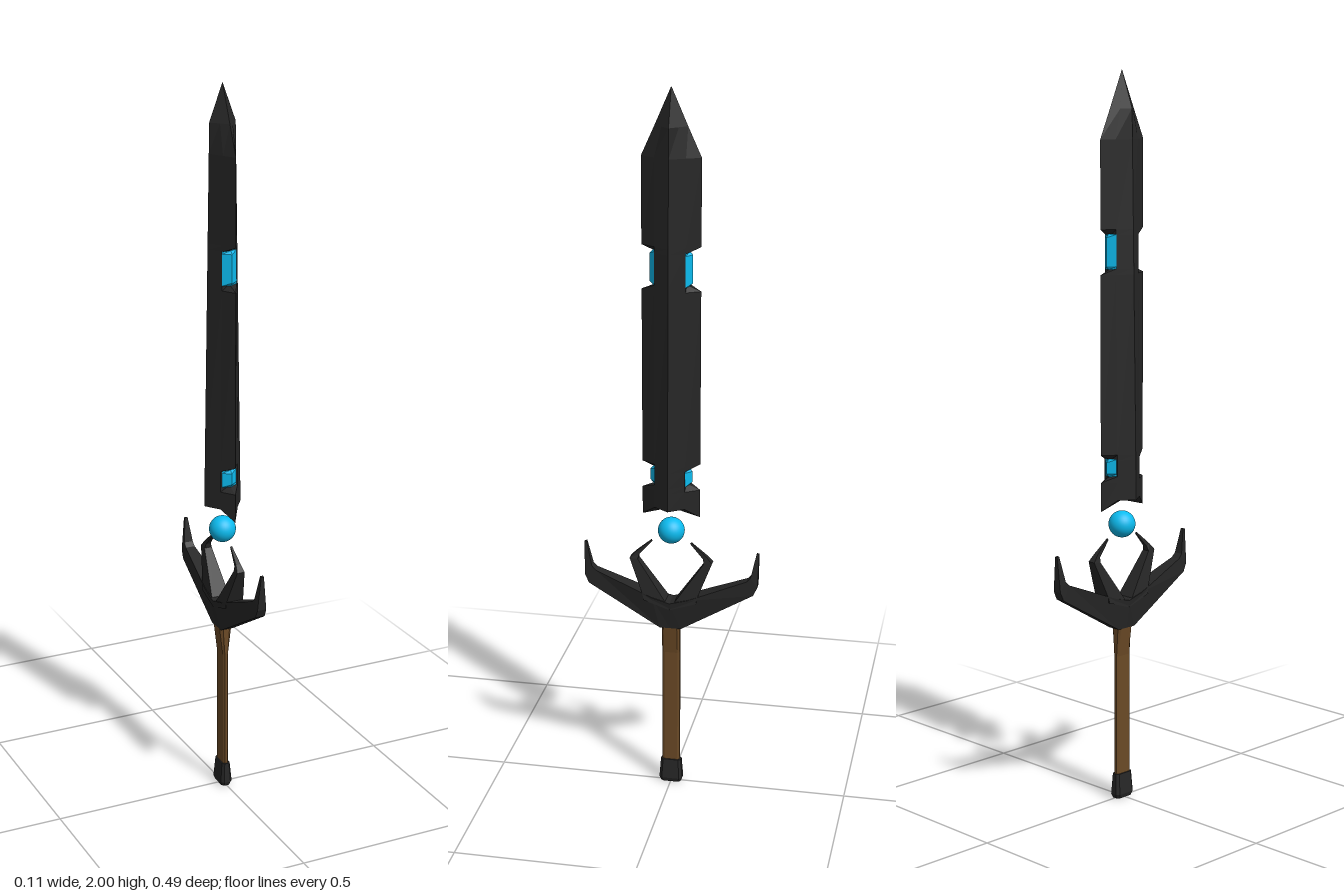
import * as THREE from 'three';

const paint = (color) => new THREE.MeshStandardMaterial({ color, flatShading: true });

// Closed skin over equal-length rings of [x, y, z], counter-clockwise along the travel direction
function loft(rings) {
  const n = rings[0].length, pos = [];
  const tri = (...pts) => pts.forEach((p) => pos.push(...p));
  for (let r = 0; r < rings.length - 1; r++) {
    const a = rings[r], b = rings[r + 1];
    for (let i = 0; i < n; i++) {
      const j = (i + 1) % n;
      tri(a[i], a[j], b[j]);
      tri(a[i], b[j], b[i]);
    }
  }
  const middle = (ring) => [0, 1, 2].map((k) => ring.reduce((s, p) => s + p[k], 0) / n);
  const first = rings[0], last = rings[rings.length - 1];
  for (let i = 0; i < n; i++) {
    const j = (i + 1) % n;
    tri(middle(first), first[j], first[i]);
    tri(middle(last), last[i], last[j]);
  }
  const g = new THREE.BufferGeometry();
  g.setAttribute('position', new THREE.Float32BufferAttribute(pos, 3));
  g.computeVertexNormals();
  return g;
}

// Arm section: inner and outer [z, y] edge points with half thicknesses
const section = ([az, ay], [bz, by], ha, hb = ha) =>
  [[ha, ay, az], [-ha, ay, az], [-hb, by, bz], [hb, by, bz]];

// Chamfered rectangle at height y
const bar = (y, x, z) => {
  const cx = x * 0.55, cz = z * 0.75;
  return [[cx, y, z], [x, y, cz], [x, y, -cz], [cx, y, -z],
    [-cx, y, -z], [-x, y, -cz], [-x, y, cz], [-cx, y, z]];
};

const EDGE = 0.08, FLOOR = 0.042; // cutting edge and notch floor, in z
const ridge = (y) => 0.055 - (y - 0.855) * 0.0165;

// Diamond blade section whose sharp edges may be cut back to hz
function bladeRing(y, hz, hx = ridge(y), width = EDGE, edgeY = y) {
  const f = width * FLOOR / EDGE, w = hx * (1 - FLOOR / EDGE);
  return [[0, edgeY, hz], [w, y, f], [hx, y, 0], [w, y, -f],
    [0, edgeY, -hz], [-w, y, -f], [-hx, y, 0], [-w, y, f]];
}

export function createModel() {
  const sword = new THREE.Group();
  sword.name = 'sword';
  const dark = paint(0x262626), brown = paint(0x6b4a26), cyan = paint(0x0cbcf0);
  const add = (name, geometry, material, turn = 0) => {
    const mesh = new THREE.Mesh(geometry, material);
    mesh.name = name;
    mesh.rotation.y = turn;
    sword.add(mesh);
    return mesh;
  };

  // Grip flares in x where it meets the guard
  add('pommel', loft([bar(0, 0.013, 0.028), bar(0.012, 0.017, 0.033),
    bar(0.07, 0.012, 0.029)]), dark);
  add('grip', loft([bar(0.06, 0.008, 0.025), bar(0.41, 0.008, 0.025),
    bar(0.5, 0.019, 0.025)]), brown);

  // Blade with two pairs of notches
  const notches = [[0.905, 0.98], [1.465, 1.585]];
  const rings = [bladeRing(0.855, EDGE, ridge(0.855), EDGE, 0.825)];
  for (const [lo, hi] of notches) {
    rings.push(bladeRing(lo, EDGE), bladeRing(lo + 0.016, FLOOR),
      bladeRing(hi - 0.016, FLOOR), bladeRing(hi, EDGE));
  }
  rings.push(bladeRing(1.82, EDGE), bladeRing(1.9, 0.044, ridge(1.9), 0.044),
    bladeRing(2, 0.0005, 0.0005, 0.0005));
  add('blade', loft(rings), dark);

  for (const turn of [0, Math.PI]) {
    // Ridged crystals seated in the notches
    for (const [lo, hi] of notches) {
      const gem = (y, out) => [[0, y, out], [0.021, y, FLOOR], [0.015, y, 0.03],
        [-0.015, y, 0.03], [-0.021, y, FLOOR]];
      add('crystal', loft([gem(lo + 0.013, 0.05), gem(lo + 0.022, 0.058),
        gem(hi - 0.022, 0.058), gem(hi - 0.013, 0.05)]), cyan, turn);
    }
    // Outer arm, bending up to a spike
    add('guardArm', loft([
      section([0, 0.57], [0, 0.49], 0.03, 0.018),
      section([0.05, 0.583], [0.03, 0.49], 0.028, 0.018),
      section([0.213, 0.648], [0.232, 0.608], 0.014),
      section([0.224, 0.66], [0.243, 0.632], 0.013),
      section([0.239, 0.73], [0.246, 0.728], 0.004),
    ]), dark, turn);
    // Inner claw, bending in toward the orb
    add('guardClaw', loft([
      section([0, 0.55], [0.075, 0.575], 0.028),
      section([0.014, 0.575], [0.076, 0.588], 0.026),
      section([0.093, 0.69], [0.116, 0.692], 0.011),
      section([0.09, 0.703], [0.1, 0.71], 0.007),
      section([0.053, 0.744], [0.056, 0.748], 0.002),
    ]), dark, turn);
  }

  // Floating orb
  const orbMaterial = cyan.clone();
  orbMaterial.flatShading = false;
  add('orb', new THREE.SphereGeometry(0.037, 32, 20), orbMaterial).position.y = 0.78;
  return sword;
}
